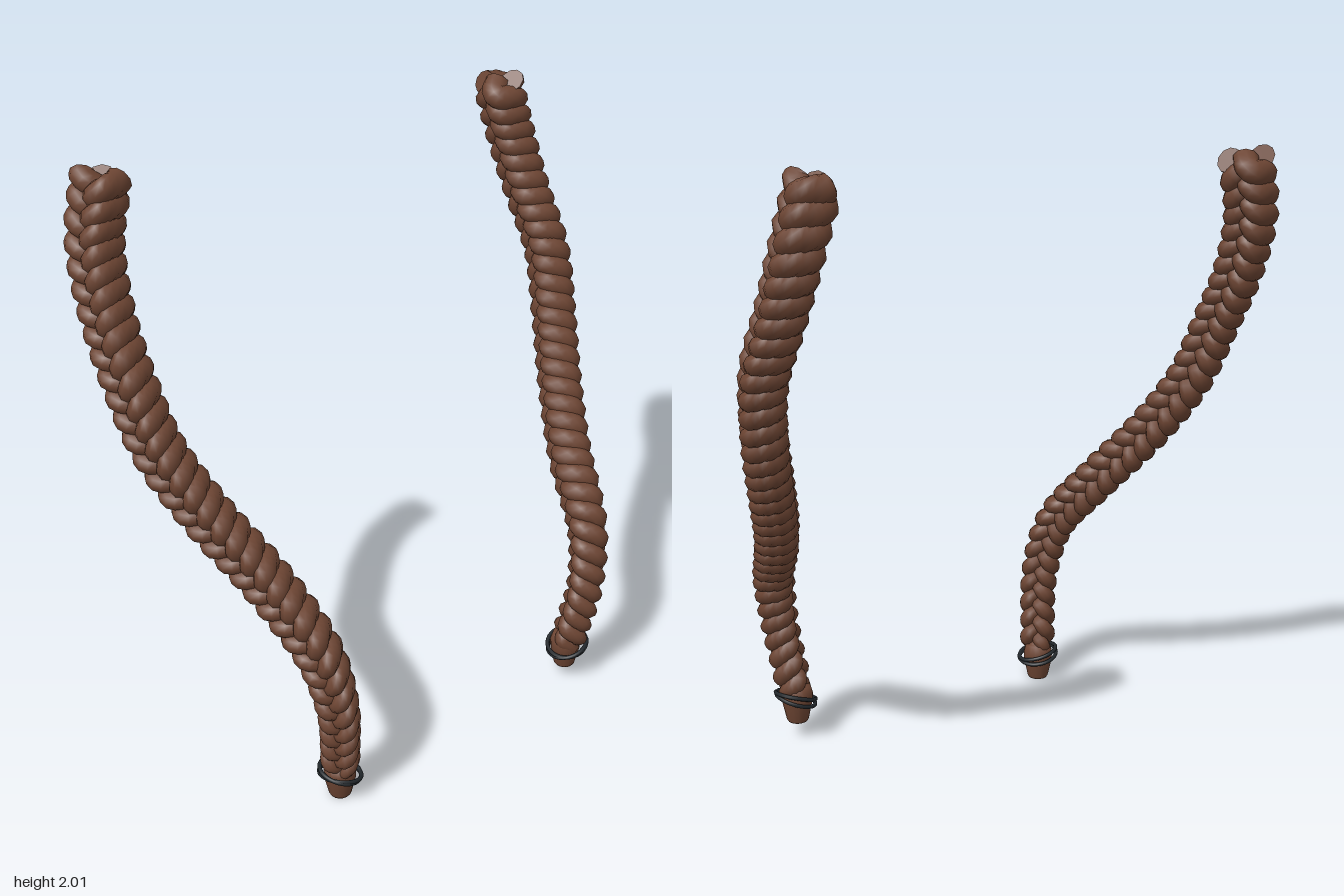
import * as THREE from 'three';

const hair = new THREE.MeshStandardMaterial({ color: 0x6d4533 });
hair.name = 'brown hair';
const band = new THREE.MeshStandardMaterial({ color: 0x22272b });
band.name = 'black elastic';

const STEPS = 330, SIDES = 10, TURNS = 11;
const smooth = THREE.MathUtils.smoothstep;

// braid thickness along its length: fuller at the root, narrow at the tie
const fullness = u => 1.08 - 0.08 * smooth(u, 0, 0.25) - 0.2 * smooth(u, 0.65, 0.95) - 0.22 * smooth(u, 0.97, 1);

// local frame of the braid: flat face turned outward, a little more forward at the tip
function braidFrame(path, side, u) {
  const tangent = path.getTangentAt(u);
  const angle = 0.25 + 0.45 * u;
  const out = new THREE.Vector3(side * Math.cos(angle), 0, Math.sin(angle));
  out.addScaledVector(tangent, -out.dot(tangent)).normalize();
  return { out, across: new THREE.Vector3().crossVectors(tangent, out) };
}

// one of three interwoven strands, swept as an oval tube with closed ends
function strandGeometry(path, side, phase) {
  const centres = [], frames = [];
  for (let i = 0; i <= STEPS; i++) {
    const u = i / STEPS, t = u * TURNS * Math.PI * 2 + phase, k = fullness(u);
    const f = braidFrame(path, side, u);
    centres.push(path.getPointAt(u)
      .addScaledVector(f.across, 0.046 * k * Math.sin(t))
      .addScaledVector(f.out, -0.034 * k * Math.sin(2 * t)));
    frames.push(f);
  }
  const rows = [[0, 0], [0, 1]];
  for (let i = 0; i <= STEPS; i++) rows.push([i, 1]);
  rows.push([STEPS, 1], [STEPS, 0]);

  const positions = [], index = [];
  rows.forEach(([i, scale], r) => {
    const dir = centres[Math.min(i + 1, STEPS)].clone().sub(centres[Math.max(i - 1, 0)]).normalize();
    const n = frames[i].out.clone();
    n.addScaledVector(dir, -n.dot(dir)).normalize();
    const b = new THREE.Vector3().crossVectors(dir, n);
    const k = fullness(i / STEPS) * scale;
    for (let j = 0; j < SIDES; j++) {
      const a = j / SIDES * Math.PI * 2;
      const p = centres[i].clone()
        .addScaledVector(n, Math.cos(a) * 0.04 * k)
        .addScaledVector(b, Math.sin(a) * 0.034 * k);
      positions.push(p.x, p.y, p.z);
      // the doubled end rows keep the rims sharp
      if (r < rows.length - 1 && r !== 1 && r !== rows.length - 3) {
        const c = r * SIDES + j, d = r * SIDES + (j + 1) % SIDES;
        index.push(c, d, c + SIDES, d, d + SIDES, c + SIDES);
      }
    }
  });
  const g = new THREE.BufferGeometry();
  g.setAttribute('position', new THREE.Float32BufferAttribute(positions, 3));
  g.setIndex(index);
  g.computeVertexNormals();
  return g;
}

function makeBraid(name, side, points, tieY, endY, tilt) {
  const braid = new THREE.Group();
  braid.name = name;
  const path = new THREE.CatmullRomCurve3(points.map(([x, y, z]) => new THREE.Vector3(side * x, y, z)));
  for (let s = 0; s < 3; s++) {
    const strand = new THREE.Mesh(strandGeometry(path, side, s * Math.PI * 2 / 3), hair);
    strand.name = 'strand' + (s + 1);
    braid.add(strand);
  }

  // loose tuft below the tie
  const profile = [[0, 0], [0.033, 0], [0.038, 0.008], [0.052, 0.07], [0.054, 0.1], [0.045, 0.13], [0, 0.14]];
  const tuft = new THREE.Mesh(
    new THREE.LatheGeometry(profile.map(([x, y]) => new THREE.Vector2(x, y)), 16), hair);
  tuft.name = 'tuft';
  tuft.position.set(side * 0.505, endY, 0.362);
  braid.add(tuft);

  // elastic tie wound twice round the end
  for (const d of [-1, 1]) {
    const loop = new THREE.Mesh(new THREE.TorusGeometry(0.07, 0.007, 8, 32), band);
    loop.name = 'hairTie';
    loop.position.set(side * 0.508, tieY + d * 0.005, 0.368);
    loop.rotation.set(Math.PI / 2 + d * 0.12, -tilt, 0);
    const holder = new THREE.Group();
    holder.name = 'tieLoop';
    holder.add(loop);
    braid.add(holder);
  }
  return braid;
}

export function createModel() {
  const model = new THREE.Group();
  model.name = 'braids';
  model.add(makeBraid('rightBraid', -1, [
    [0.775, 1.975, -0.39], [0.825, 1.8, -0.37], [0.848, 1.6, -0.295], [0.85, 1.4, -0.185],
    [0.82, 1.2, -0.095], [0.74, 1.0, 0.03], [0.64, 0.8, 0.19], [0.575, 0.6, 0.36],
    [0.54, 0.4, 0.405], [0.515, 0.2, 0.38], [0.505, 0.1, 0.365]], 0.097, 0.005, 0.26));
  model.add(makeBraid('leftBraid', 1, [
    [0.78, 1.965, -0.39], [0.82, 1.8, -0.37], [0.842, 1.6, -0.295], [0.85, 1.4, -0.185],
    [0.812, 1.2, -0.095], [0.735, 1.0, 0.03], [0.645, 0.8, 0.19], [0.58, 0.6, 0.36],
    [0.54, 0.4, 0.405], [0.515, 0.22, 0.38], [0.508, 0.14, 0.368]], 0.145, 0.06, -0.29));
  return model;
}
